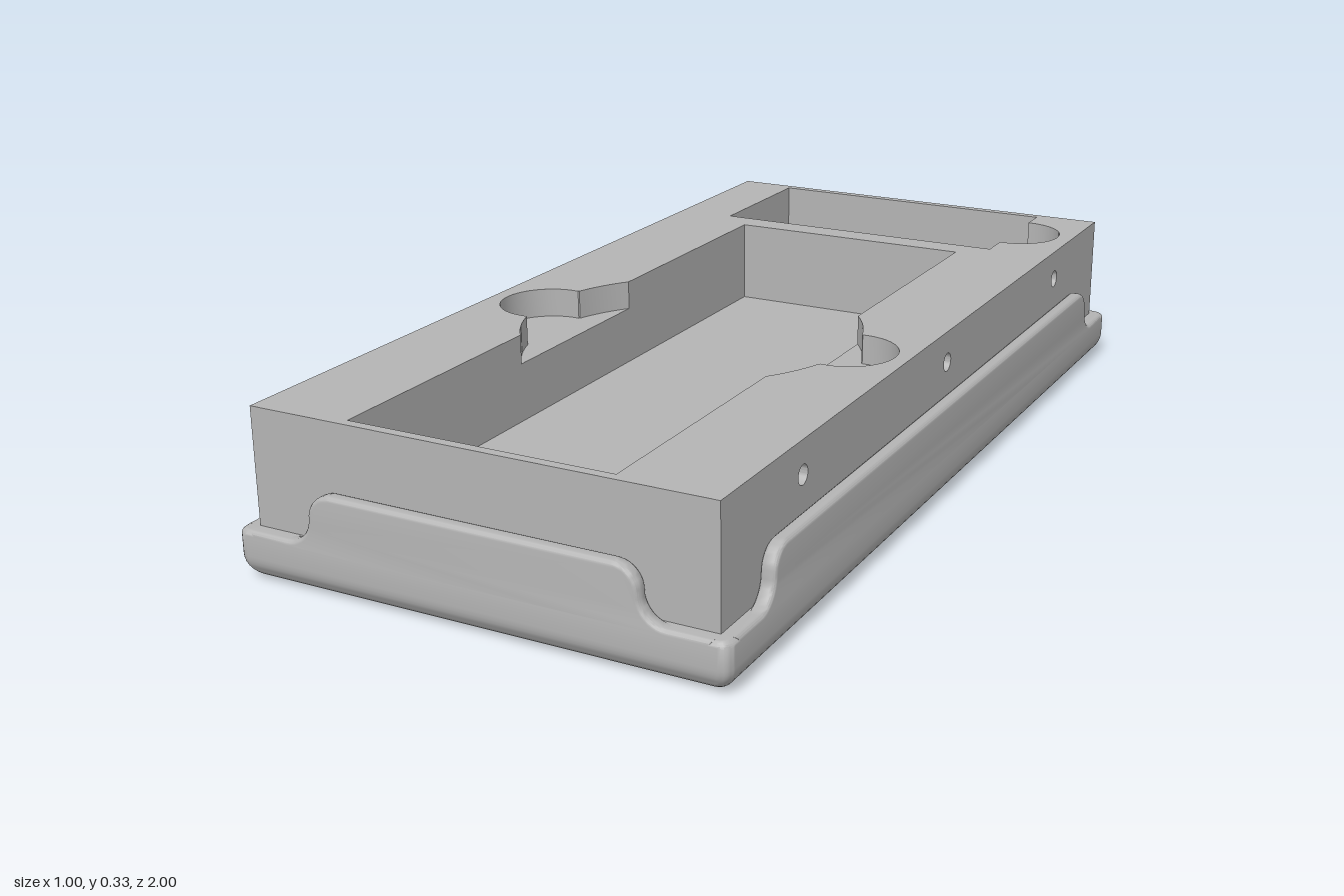
import * as THREE from 'three';
import { toCreasedNormals } from 'three/addons/utils/BufferGeometryUtils.js';

const V = (x, y) => new THREE.Vector2(x, y);

// Points along an arc
function arc(cx, cy, r, a0, a1, n) {
  return Array.from({ length: n + 1 }, (_, i) => {
    const a = a0 + (a1 - a0) * i / n;
    return V(cx + r * Math.cos(a), cy + r * Math.sin(a));
  });
}

const rect = (w, h, cy = 0) => [V(-w, cy - h), V(w, cy - h), V(w, cy + h), V(-w, cy + h)];

// Rounded rectangle outline with a constant number of points
function roundRect(w, h, r) {
  return [[1, 1], [-1, 1], [-1, -1], [1, -1]].flatMap(([sx, sy], i) =>
    arc(sx * (w - r), sy * (h - r), r, i * Math.PI / 2, (i + 1) * Math.PI / 2, 6));
}

export function createModel() {
  const model = new THREE.Group();
  const grey = new THREE.MeshStandardMaterial({ color: 0xb4b4b4 });
  grey.name = 'plain grey';

  function add(name, geometry) {
    const mesh = new THREE.Mesh(geometry, grey);
    mesh.name = name;
    model.add(mesh);
    return mesh;
  }

  // Tray base: stacked outlines with a rounded bottom edge and a softened rim
  const profile = [
    ...arc(0.05, 0.05, 0.05, -Math.PI / 2, -Math.PI, 10),
    ...arc(0.01, 0.09, 0.01, Math.PI, Math.PI / 2, 5),
    V(0.04, 0.1),
  ];
  const rings = profile.map(p => roundRect(0.5 - p.x, 1 - p.x, 0.022 - p.x * 0.3));
  const n = rings[0].length;
  const pos = [], idx = [];
  rings.forEach((ring, k) => ring.forEach(p => pos.push(p.x, profile[k].y, p.y)));
  for (let k = 0; k < rings.length - 1; k++) {
    for (let i = 0; i < n; i++) {
      const a = k * n + i, b = k * n + (i + 1) % n;
      idx.push(a, a + n, b, b, a + n, b + n);
    }
  }
  const bottom = pos.length / 3;
  pos.push(0, 0, 0);
  for (let i = 0; i < n; i++) idx.push(bottom, i, (i + 1) % n);
  const base = new THREE.BufferGeometry();
  base.setAttribute('position', new THREE.Float32BufferAttribute(pos, 3));
  base.setIndex(idx);
  add('trayBase', toCreasedNormals(base, 0.7));

  // Raised tray walls: low at the corners, S-curved up to the middle
  function wall(name, half, angle, distance) {
    const q = Math.PI / 2;
    const right = [
      V(half - 0.03, 0.06), V(half - 0.03, 0.1),
      ...arc(half - 0.115, 0.15, 0.05, -q, -2 * q, 10),
      ...arc(half - 0.215, 0.15, 0.05, 0, q, 10).slice(1),
    ];
    const left = right.map(p => V(-p.x, p.y)).reverse();
    const g = new THREE.ExtrudeGeometry(new THREE.Shape([...right, ...left]), {
      depth: 0.012, bevelThickness: 0.009, bevelSize: 0.009, bevelOffset: -0.009, bevelSegments: 4,
    });
    g.translate(0, 0, distance - 0.021).rotateY(angle);
    add(name, toCreasedNormals(g, 0.7));
  }
  wall('frontWall', 0.5, 0, 1);
  wall('backWall', 0.5, Math.PI, 1);
  wall('leftWall', 1, Math.PI / 2, 0.5);
  wall('rightWall', 1, -Math.PI / 2, 0.5);

  // Pocket outlines, drawn in x and z
  const backPocket = [
    V(-0.34, -0.95), V(0.33, -0.95), V(0.33, -0.89),
    ...arc(0.335, -0.79, 0.1, -Math.PI / 2, Math.PI / 2, 24),
    V(0.33, -0.69), V(0.33, -0.62), V(-0.34, -0.62),
  ];
  const mainPocket = rect(0.27, 0.755, 0.195);
  const fingerSide = turn => [
    ...arc(0, 0.2, 0.342, turn - 0.661, turn - 0.3, 8),
    ...arc(0.34 * Math.cos(turn), 0.2, 0.1, turn - 1.68, turn + 1.68, 24),
    ...arc(0, 0.2, 0.342, turn + 0.3, turn + 0.661, 8),
  ];
  const wideMainPocket = [
    mainPocket[0], mainPocket[1], ...fingerSide(0),
    mainPocket[2], mainPocket[3], ...fingerSide(Math.PI),
  ];

  // Insert block in horizontal layers, each with the pockets that reach it
  function layer(name, y0, y1, holes) {
    const shape = new THREE.Shape(rect(0.45, 0.97));
    shape.holes = holes.map(h => new THREE.Path(h));
    const g = new THREE.ExtrudeGeometry(shape, { depth: y1 - y0, bevelEnabled: false });
    g.rotateX(Math.PI / 2).translate(0, y1, 0);
    add(name, toCreasedNormals(g, 0.5));
  }
  layer('insertFloor', 0.05, 0.1, []);
  layer('insertLower', 0.1, 0.15, [backPocket]);
  layer('insertMiddle', 0.15, 0.27, [backPocket, mainPocket]);
  layer('insertTop', 0.27, 0.33, [backPocket, wideMainPocket]);

  // Insert side plates with three round holes each
  for (const side of [1, -1]) {
    const shape = new THREE.Shape(rect(0.97, 0.14, 0.19));
    shape.holes = [-0.67, 0, 0.67].map(z => new THREE.Path(arc(z, 0.265, 0.019, 0, Math.PI * 2, 24).slice(1)));
    const g = new THREE.ExtrudeGeometry(shape, { depth: 0.02, bevelEnabled: false });
    g.rotateY(Math.PI / 2).translate(side > 0 ? 0.45 : -0.47, 0, 0);
    add(side > 0 ? 'insertLeftSide' : 'insertRightSide', toCreasedNormals(g, 0.5));
  }

  return model;
}
